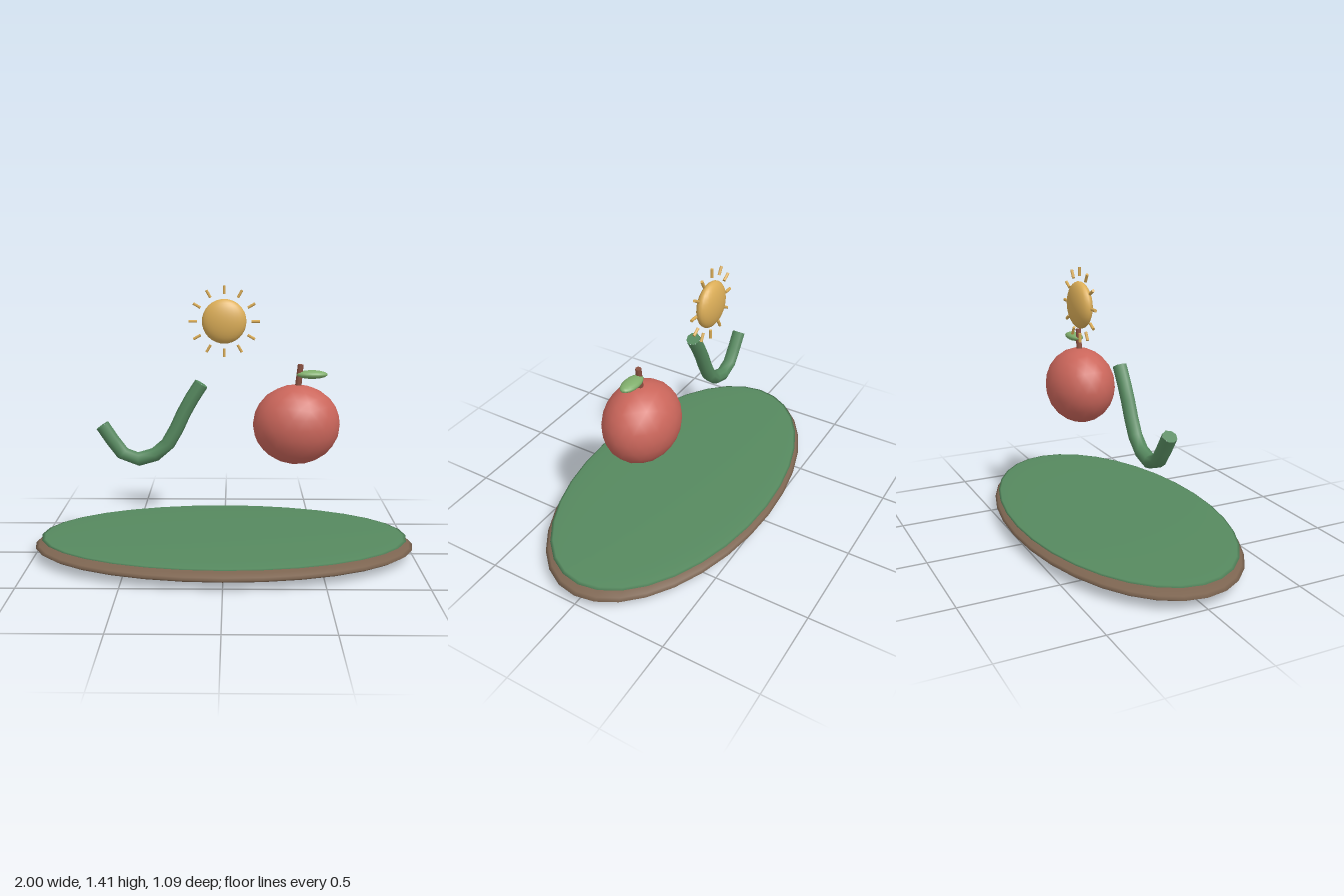
import * as THREE from 'three';

const mat = (color) => new THREE.MeshStandardMaterial({ color });
const BROWN = mat(0x7d6551), GREEN = mat(0x56895f), RED = mat(0xcb665b);
const STEM = mat(0x8a5040), LEAF = mat(0x80ae6c), GOLD = mat(0xdcae58);

function add(parent, name, geometry, material, pos = [0, 0, 0], scale = [1, 1, 1]) {
  const mesh = new THREE.Mesh(geometry, material);
  mesh.name = name;
  mesh.position.set(...pos);
  mesh.scale.set(...scale);
  parent.add(mesh);
  return mesh;
}

export function createModel() {
  const root = new THREE.Group();
  root.name = 'gardenScene';

  // Flattened oval island: earth with a thin layer of grass
  const disc = new THREE.SphereGeometry(1, 32, 16);
  add(root, 'earth', disc, BROWN, [0, 0.062, 0], [1, 0.058, 0.545]);
  add(root, 'grass', disc, GREEN, [0, 0.107, 0], [0.965, 0.018, 0.527]);

  // Fruit: faceted ball with one corner turned straight up, smooth shaded
  const apple = new THREE.Group();
  apple.name = 'apple';
  const ball = new THREE.IcosahedronGeometry(1, 3);
  ball.rotateZ(-Math.atan2(2, 1 + Math.sqrt(5)));
  add(apple, 'fruit', ball, RED, [0.375, 0.708, 0], [0.225, 0.208, 0.185]);
  const stem = add(apple, 'stem', new THREE.CylinderGeometry(0.015, 0.017, 0.14, 8), STEM, [0.386, 0.95, 0]);
  stem.rotation.z = -0.1;
  add(apple, 'leaf', new THREE.SphereGeometry(1, 16, 10), LEAF, [0.451, 0.968, 0], [0.081, 0.022, 0.041]);
  root.add(apple);

  // Worm: curved tube with closed ends
  const worm = new THREE.Group();
  worm.name = 'worm';
  const path = new THREE.CurvePath();
  const pts = [
    [-0.63, 0.7], [-0.535, 0.56], [-0.505, 0.535], [-0.444, 0.52], [-0.325, 0.565],
    [-0.26, 0.655], [-0.19, 0.8], [-0.115, 0.92],
  ].map(([x, y]) => new THREE.Vector3(x, y, 0));
  const curve = new THREE.CatmullRomCurve3(pts);
  add(worm, 'body', new THREE.TubeGeometry(curve, 9, 0.037, 8), GREEN);
  for (const [t, dir] of [[0, -1], [1, 1]]) {
    const cap = add(worm, 'endCap', new THREE.CircleGeometry(0.037, 8), GREEN, curve.getPoint(t).toArray());
    const out = curve.getTangent(t).multiplyScalar(dir);
    cap.quaternion.setFromUnitVectors(new THREE.Vector3(0, 0, 1), out);
  }
  root.add(worm);

  // Sun: flattened ball ringed by twelve short rays
  const sun = new THREE.Group();
  sun.name = 'sun';
  sun.position.set(0, 1.223, -0.165);
  add(sun, 'sunDisc', new THREE.SphereGeometry(1, 24, 16), GOLD, [0, 0, 0], [0.117, 0.117, 0.048]);
  const rayGeo = new THREE.CylinderGeometry(0.008, 0.008, 0.044, 6);
  for (let i = 0; i < 12; i++) {
    const a = (i / 12) * Math.PI * 2;
    const ray = add(sun, 'ray', rayGeo, GOLD, [0.165 * Math.cos(a), 0.165 * Math.sin(a), 0]);
    ray.rotation.z = a - Math.PI / 2;
  }
  root.add(sun);
  return root;
}
